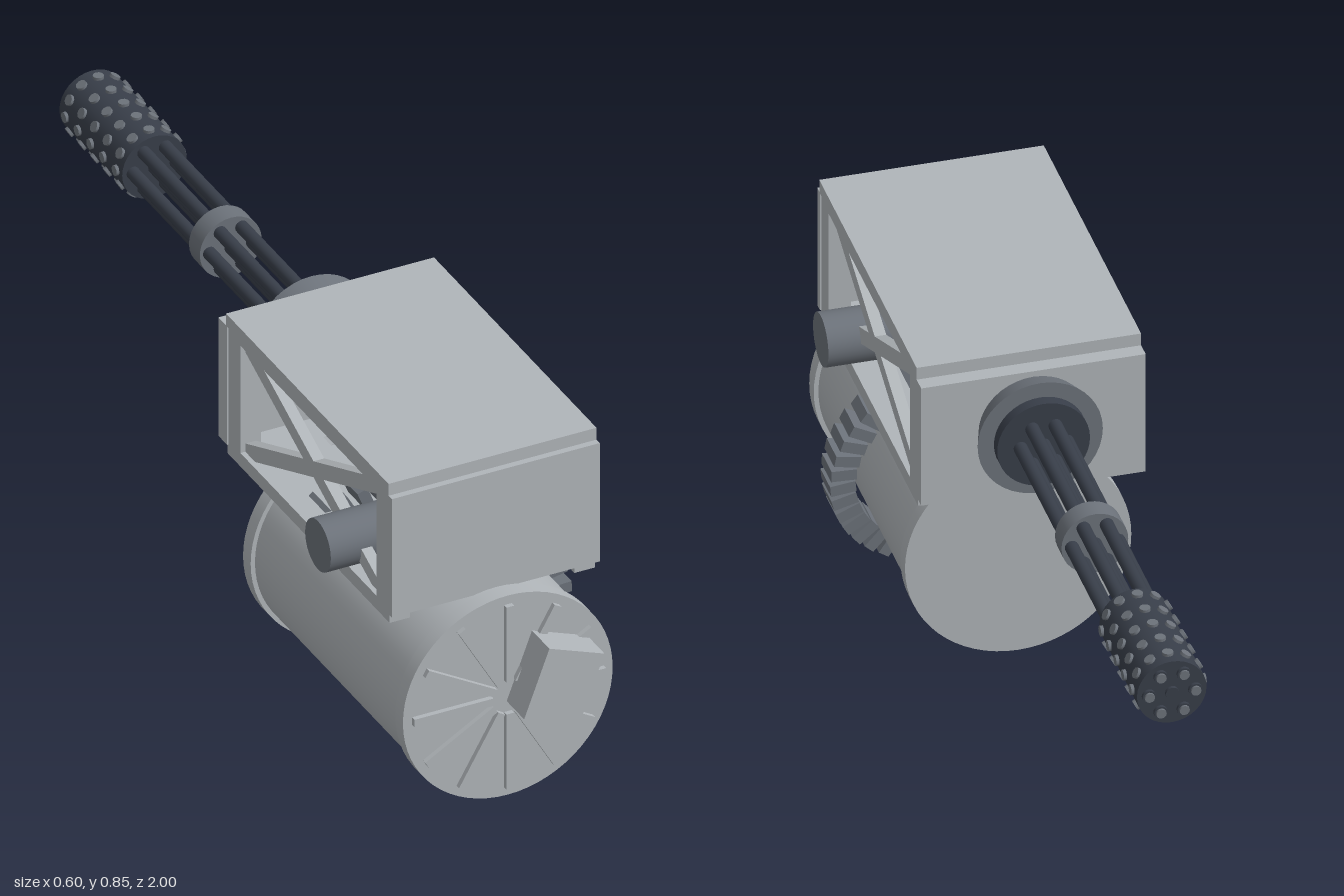
import * as THREE from 'three';

export function createModel() {
  const root = new THREE.Group();
  root.name = 'rotaryCannon';
  const material = (name, color) => {
    const m = new THREE.MeshStandardMaterial({ color });
    m.name = name;
    return m;
  };
  const light = material('lightGrey', 0xb0b5b9);
  const mid = material('midGrey', 0x6c727a);
  const dark = material('gunmetal', 0x383e49);

  const add = (name, geometry, mat, x = 0, y = 0, z = 0, parent = root) => {
    const mesh = new THREE.Mesh(geometry, mat);
    mesh.name = name;
    mesh.position.set(x, y, z);
    parent.add(mesh);
    return mesh;
  };
  const box = (name, mat, w, h, d, x, y, z, parent) =>
    add(name, new THREE.BoxGeometry(w, h, d), mat, x, y, z, parent);
  // Cylinder along z from z0 (back) to z1 (front)
  const rod = (name, mat, rBack, rFront, z0, z1, x, y, sides = 32, parent = root) =>
    add(name, new THREE.CylinderGeometry(rFront, rBack, z1 - z0, sides).rotateX(Math.PI / 2),
      mat, x, y, (z0 + z1) / 2, parent);
  const group = (name, x = 0, y = 0, z = 0) => {
    const g = new THREE.Group();
    g.name = name;
    g.position.set(x, y, z);
    root.add(g);
    return g;
  };

  // Housing: roof, end plates and floor
  const housing = group('housing');
  box('roof', light, 0.484, 0.03, 0.745, 0, 0.834, 0.4775, housing);
  box('frontPlate', light, 0.484, 0.29, 0.02, 0, 0.675, 0.855, housing);
  box('backPlate', light, 0.484, 0.29, 0.04, 0, 0.675, 0.09, housing);
  box('floor', light, 0.44, 0.01, 0.74, 0, 0.534, 0.4775, housing);

  // Open side frames with crossed braces
  const frame = new THREE.Shape([
    [0.106, 0.507], [0.849, 0.507], [0.849, 0.82], [0.106, 0.82],
  ].map(p => new THREE.Vector2(...p)));
  frame.holes.push(new THREE.Path([
    [0.165, 0.54], [0.165, 0.803], [0.79, 0.803], [0.79, 0.54],
  ].map(p => new THREE.Vector2(...p))));
  const frameGeometry = new THREE.ExtrudeGeometry(frame, { depth: 0.048, bevelEnabled: false })
    .rotateY(-Math.PI / 2).translate(0.024, 0, 0);
  for (const side of [-1, 1]) {
    add('sideFrame', frameGeometry, light, side * 0.215, 0, 0, housing);
    for (const slope of [-1, 1]) {
      const brace = box('crossBrace', light, 0.025, 0.036, 0.68, side * 0.215, 0.672, 0.4775, housing);
      brace.rotation.x = slope * Math.atan2(0.263, 0.625);
    }
  }

  // Trunnion through the housing
  add('trunnion', new THREE.CylinderGeometry(0.059, 0.059, 0.597, 32).rotateZ(Math.PI / 2),
    mid, 0, 0.596, 0.638);

  // Ammunition drum with end rims
  const drumY = 0.302;
  const drum = group('drum', 0, drumY);
  rod('drumBody', light, 0.234, 0.234, 0.2, 0.9, 0, 0, 64, drum);
  rod('frontRim', light, 0.244, 0.244, 0.885, 0.92, 0, 0, 64, drum);
  rod('backRim', light, 0.244, 0.244, 0.187, 0.222, 0, 0, 64, drum);

  // Radial ribs and offset motor box on the drum front
  for (let i = 0; i < 12; i++) {
    const a = i * Math.PI / 6;
    const rib = box('rib', light, 0.184, 0.018, 0.015, 0.131 * Math.cos(a), 0.131 * Math.sin(a), 0.924, drum);
    rib.rotation.z = a;
  }
  box('motorBox', light, 0.137, 0.167, 0.085, 0.091, 0.04, 0.9575, drum).rotation.z = -0.36;

  // Feed belt spiralling around the drum
  const belt = group('feedBelt', 0, drumY);
  const linkGeometry = new THREE.BoxGeometry(0.055, 0.025, 0.075);
  for (let i = 0; i < 28; i++) {
    const a = -Math.PI / 2 + i * 0.1466;
    const link = add('beltLink', linkGeometry, mid,
      0.2745 * Math.cos(a), 0.2745 * Math.sin(a), 0.705 - i * 0.0112, belt);
    link.rotation.z = a;
  }

  // Barrel mount
  const barrelY = 0.688;
  const gun = group('barrelAssembly', 0, barrelY);
  rod('mountCollar', mid, 0.135, 0.118, 0.018, 0.072, 0, 0, 40, gun);
  rod('mountRing', dark, 0.1, 0.1, -0.008, 0.03, 0, 0, 40, gun);

  // Six barrels around a slim centre rod
  for (let i = 0; i < 6; i++) {
    const a = i * Math.PI / 3, x = 0.05 * Math.cos(a), y = 0.05 * Math.sin(a);
    rod('barrel', dark, 0.0148, 0.0148, -0.995, 0, x, y, 16, gun);
    rod('barrelTip', mid, 0.011, 0.011, -1, -0.99, x, y, 12, gun);
  }
  rod('centreRod', dark, 0.0145, 0.0145, -0.995, 0, 0, 0, 16, gun);
  rod('barrelClamp', mid, 0.072, 0.072, -0.4, -0.35, 0, 0, 32, gun);

  // Studded muzzle sleeve
  rod('muzzleSleeve', dark, 0.075, 0.075, -0.988, -0.7, 0, 0, 32, gun);
  const studGeometry = new THREE.CylinderGeometry(0.012, 0.012, 0.014, 10).rotateZ(-Math.PI / 2);
  for (let row = 0; row < 5; row++) {
    for (let i = 0; i < 12; i++) {
      const a = i * Math.PI / 6;
      const stud = add('muzzleStud', studGeometry, mid,
        0.074 * Math.cos(a), 0.074 * Math.sin(a), -0.725 - row * 0.058, gun);
      stud.rotation.z = a;
    }
  }
  return root;
}
